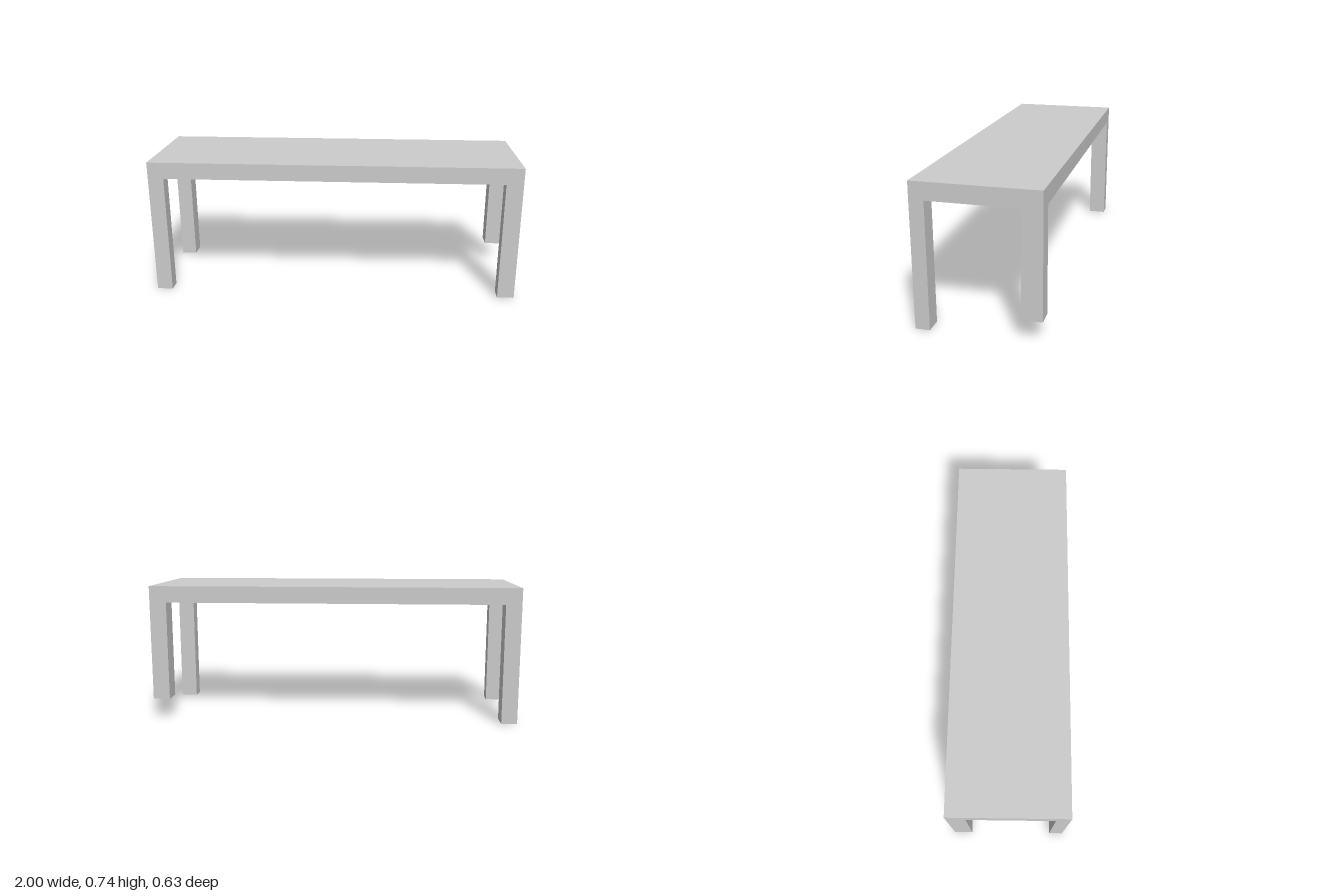
import * as THREE from 'three';

const TOP = 0.739, UNDER = 0.65, X = 1, Z = 0.313;

export function createModel() {
  const group = new THREE.Group();
  const material = new THREE.MeshStandardMaterial({ color: 0xcccccc, flatShading: true });

  // Box given by its opposite corners
  function addBox(name, [x0, y0, z0], [x1, y1, z1]) {
    const geometry = new THREE.BoxGeometry(x1 - x0, y1 - y0, z1 - z0);
    const mesh = new THREE.Mesh(geometry, material);
    mesh.position.set((x0 + x1) / 2, (y0 + y1) / 2, (z0 + z1) / 2);
    mesh.name = name;
    group.add(mesh);
  }

  // Solid slab top
  addBox('tabletop', [-X, UNDER, -Z], [X, TOP, Z]);

  // Legs flush with the corners; the back left one stops short of the ground
  for (const side of [-1, 1]) {
    const width = side > 0 ? 0.091 : 0.085;
    const x0 = side > 0 ? X - width : -X;
    const name = side > 0 ? 'Left' : 'Right';
    addBox('front' + name + 'Leg', [x0, 0, 0.239], [x0 + width, UNDER, Z]);
    addBox('back' + name + 'Leg', [x0, side > 0 ? 0.113 : 0.002, -Z], [x0 + width, UNDER, -0.212]);
  }
  return group;
}
